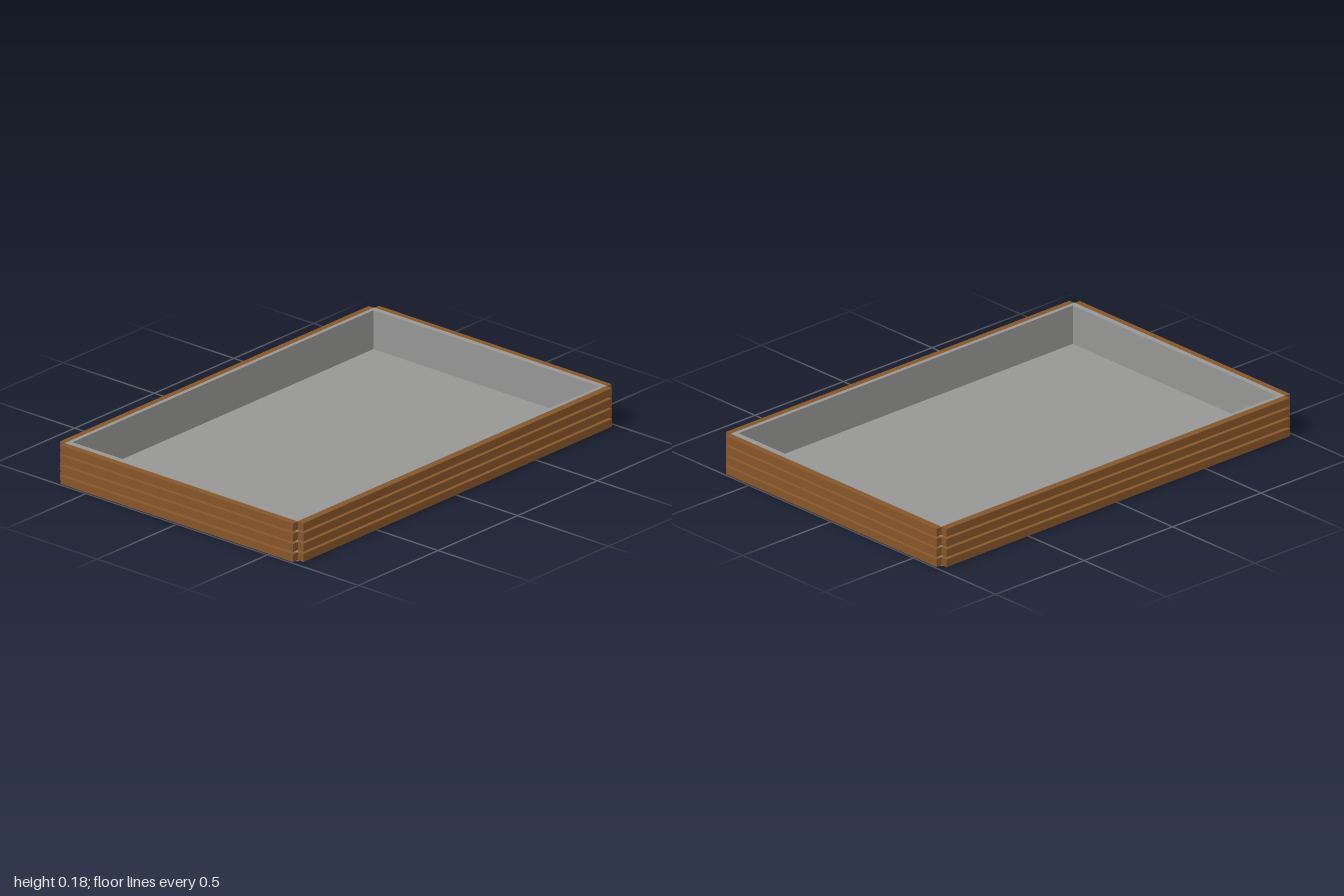
import * as THREE from 'three';

export function createModel() {
  const model = new THREE.Group();
  const metal = new THREE.MeshStandardMaterial({ color: 0x969695 });
  const wood = new THREE.MeshStandardMaterial({ color: 0x855528 });

  const HALF_X = 0.97, HALF_Z = 0.64, HEIGHT = 0.18;
  const INNER_X = 0.945, INNER_Z = 0.622;
  const FLOOR = 0.006, SLAT_DEPTH = 0.03, SLAT_HEIGHT = 0.035;

  const addBox = (name, size, position, material) => {
    const mesh = new THREE.Mesh(new THREE.BoxGeometry(...size), material);
    mesh.name = name;
    mesh.position.set(...position);
    model.add(mesh);
  };

  // Rectangle path centred on the origin
  const rectangle = (path, x, z) =>
    path.moveTo(-x, -z).lineTo(x, -z).lineTo(x, z).lineTo(-x, z).closePath();

  // Tray walls: a hollow frame extruded upwards
  const frame = rectangle(new THREE.Shape(), HALF_X, HALF_Z);
  frame.holes.push(rectangle(new THREE.Path(), INNER_X, INNER_Z));
  const wallGeometry = new THREE.ExtrudeGeometry(frame, { depth: HEIGHT, bevelEnabled: false });
  wallGeometry.rotateX(-Math.PI / 2);
  const walls = new THREE.Mesh(wallGeometry, metal);
  walls.name = 'trayWalls';
  model.add(walls);

  // Thin floor fitted between the walls
  addBox('trayFloor', [2 * INNER_X, FLOOR, 2 * INNER_Z], [0, FLOOR / 2, 0], metal);

  // Four rows of slats on each side, leaving the corners open
  for (let row = 0; row < 4; row++) {
    const y = 0.0225 + row * 0.046;
    for (const side of [1, -1]) {
      addBox(side > 0 ? 'frontSlat' : 'backSlat', [2 * HALF_X, SLAT_HEIGHT, SLAT_DEPTH],
        [0, y, side * (HALF_Z + SLAT_DEPTH / 2)], wood);
      addBox(side > 0 ? 'leftSlat' : 'rightSlat', [SLAT_DEPTH, SLAT_HEIGHT, 2 * HALF_Z],
        [side * (HALF_X + SLAT_DEPTH / 2), y, 0], wood);
    }
  }

  return model;
}
